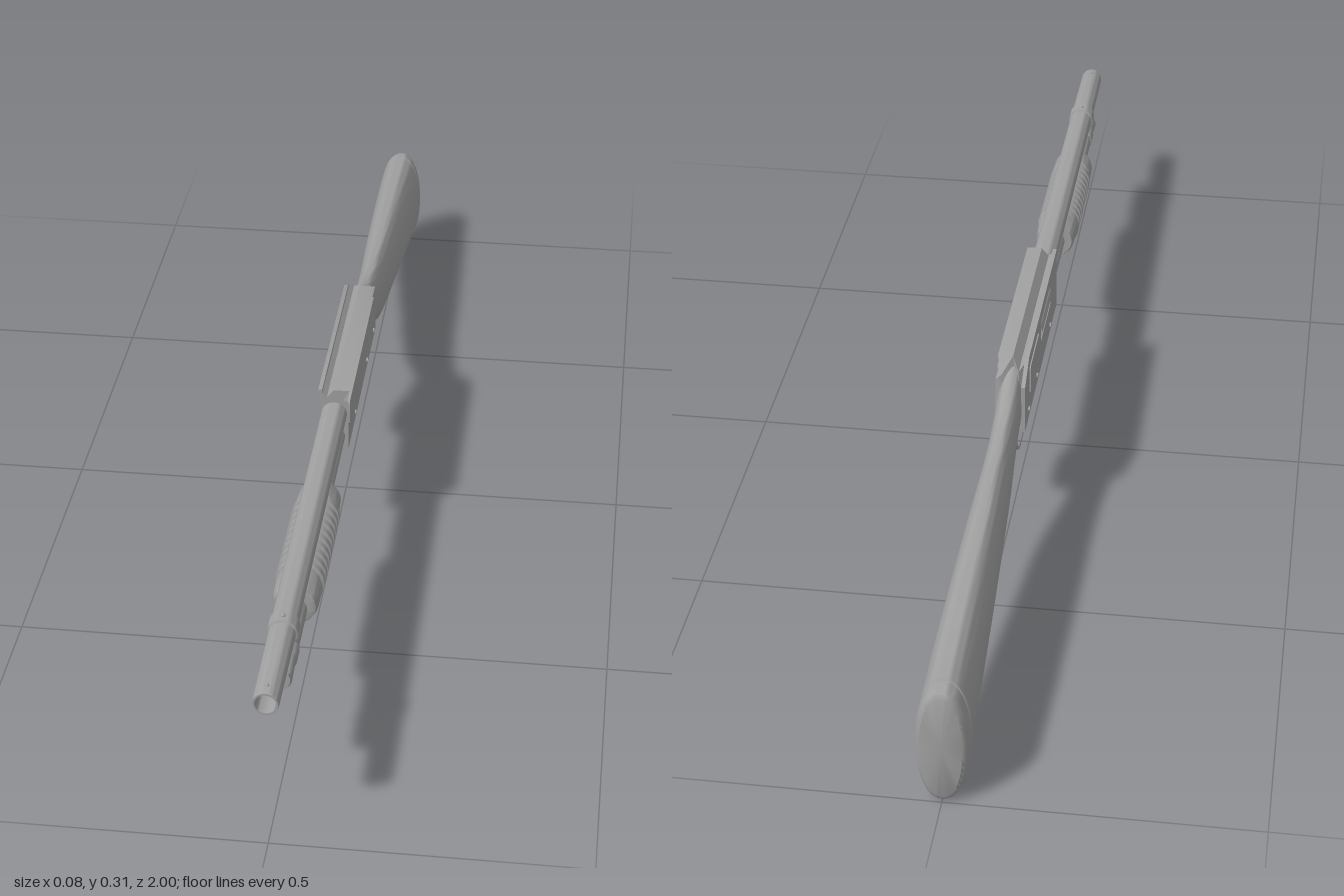
import * as THREE from 'three';
import { toCreasedNormals } from 'three/addons/utils/BufferGeometryUtils.js';

export function createModel() {
  const model = new THREE.Group();
  const grey = new THREE.MeshStandardMaterial({ color: 0xa0a0a0 });
  grey.name = 'plain grey';

  const add = (name, geo, x = 0, y = 0, z = 0, crease = 0.6) => {
    const mesh = new THREE.Mesh(toCreasedNormals(geo, crease), grey);
    mesh.name = name;
    mesh.position.set(x, y, z);
    model.add(mesh);
    return mesh;
  };
  const poly = (pts) => new THREE.Shape(pts.map((p) => new THREE.Vector2(p[0], p[1])));
  const extrude = (shape, depth) =>
    new THREE.ExtrudeGeometry(shape, { depth, bevelEnabled: false, curveSegments: 16 });
  // side profile given as (z, y), extruded across x and centred
  const side = (shape, width) => extrude(shape, width).translate(0, 0, -width / 2).rotateY(-Math.PI / 2);
  // turned profile given as (radius, z), from back to front
  const turned = (pts, seg = 40) =>
    new THREE.LatheGeometry(pts.map((p) => new THREE.Vector2(p[0], p[1])), seg).rotateX(Math.PI / 2);
  const roundRect = (shape, x0, y0, x1, y1, r) => {
    shape.moveTo(x0 + r, y0);
    shape.lineTo(x1 - r, y0);
    shape.quadraticCurveTo(x1, y0, x1, y0 + r);
    shape.lineTo(x1, y1 - r);
    shape.quadraticCurveTo(x1, y1, x1 - r, y1);
    shape.lineTo(x0 + r, y1);
    shape.quadraticCurveTo(x0, y1, x0, y1 - r);
    shape.lineTo(x0, y0 + r);
    shape.quadraticCurveTo(x0, y0, x0 + r, y0);
    return shape;
  };

  // Barrel with open bore, magazine tube and its cap
  const barrelY = 0.268, tubeY = 0.222;
  add('barrel', turned([[0.0225, 0.1], [0.0215, 0.8], [0.0205, 0.995], [0.0195, 1],
    [0.0165, 1], [0.0165, 0.85], [0, 0.85]]), 0, barrelY);
  add('magazineTube', turned([[0.019, 0.1], [0.019, 0.8], [0, 0.8]]), 0, tubeY);
  add('magazineCap', turned([[0.019, 0.69], [0.0215, 0.695], [0.0215, 0.785], [0.019, 0.788],
    [0.019, 0.797], [0.0235, 0.8], [0.0235, 0.825], [0.0215, 0.83], [0.0225, 0.875],
    [0.02, 0.88], [0, 0.88]]), 0, tubeY);
  add('barrelRing', turned([[0.02, 0.795], [0.0245, 0.797], [0.0245, 0.823], [0.02, 0.825]]), 0, barrelY);
  add('barrelLug', new THREE.BoxGeometry(0.016, 0.03, 0.03), 0, 0.245, 0.81);
  add('ringBead', new THREE.SphereGeometry(0.004, 12, 8), 0, barrelY + 0.0245, 0.81);
  add('frontBead', new THREE.SphereGeometry(0.0035, 12, 8), 0, barrelY + 0.0205, 0.98);

  // Ribbed sliding fore-end
  const grip = [[0.019, 0.37], [0.033, 0.37], [0.036, 0.376], [0.0375, 0.41]];
  for (let i = 0; i < 10; i++) {
    const z = 0.423 + i * 0.021;
    grip.push([0.04, z], [0.04, z + 0.011], [0.035, z + 0.013], [0.035, z + 0.019]);
  }
  grip.push([0.0385, 0.636], [0.0375, 0.675], [0.034, 0.688], [0.028, 0.69], [0.019, 0.69]);
  add('foreEnd', turned(grip, 48), 0, 0.223);

  // Receiver: grooved cross-section whose rear end slopes down to the stock
  const front = 0.175, rear = -0.205;
  const slope = (y) => Math.min(0.055, (0.315 - y) * 1.8);
  const body = extrude(poly([[-0.0215, 0.204], [0.025, 0.204], [0.025, 0.292], [0.016, 0.296],
    [0.0265, 0.315], [0, 0.315], [-0.013, 0.3], [-0.0215, 0.308]]), front - rear).translate(0, 0, rear);
  const pos = body.attributes.position;
  for (let i = 0; i < pos.count; i++) {
    if (pos.getZ(i) < 0) pos.setZ(i, rear - slope(pos.getY(i)));
  }
  add('receiver', body);

  // Port-side wall with the ejection opening
  const wall = poly([[front, 0.204], [front, 0.315], [rear, 0.315], [-0.258, 0.285], [-0.26, 0.204]]);
  wall.holes.push(roundRect(new THREE.Path(), -0.05, 0.25, 0.085, 0.291, 0.008));
  add('portWall', side(wall, 0.007), -0.0245);
  add('bolt', new THREE.CylinderGeometry(0.0135, 0.0135, 0.128, 28).rotateX(Math.PI / 2), -0.017, 0.27, 0.0175);
  add('rearPanel', side(roundRect(new THREE.Shape(), -0.2, 0.236, -0.085, 0.292, 0.006), 0.003), -0.0285);

  // Plain raised panel on the other side
  add('sidePanel', side(roundRect(new THREE.Shape(), -0.208, 0.245, front, 0.294, 0.008), 0.005), 0.025);

  // Floor with the loading opening
  const floor = poly([[-0.028, -0.26], [0.025, -0.26], [0.025, front], [-0.028, front]]);
  floor.holes.push(roundRect(new THREE.Path(), -0.016, -0.05, 0.014, 0.135, 0.008));
  add('floor', extrude(floor, 0.009).rotateX(Math.PI / 2), 0, 0.205);

  // Cross pins
  for (const [y, z] of [[0.211, 0.075], [0.215, -0.105], [0.215, -0.215]]) {
    add('pin', new THREE.CylinderGeometry(0.0045, 0.0045, 0.059, 14).rotateZ(Math.PI / 2), -0.0015, y, z);
  }

  // Trigger guard, trigger and rear tang
  const loop = (shape, t) => {
    shape.moveTo(-0.093 - t, 0.2 - t);
    shape.bezierCurveTo(-0.096 - t, 0.155, -0.115, 0.123 + t, -0.15, 0.123 + t);
    shape.lineTo(-0.19, 0.123 + t);
    shape.bezierCurveTo(-0.225, 0.123 + t, -0.246 + t, 0.145, -0.246 + t, 0.2 - t);
    return shape;
  };
  const guard = loop(new THREE.Shape(), 0);
  guard.holes.push(loop(new THREE.Path(), 0.008));
  add('triggerGuard', side(guard, 0.022));
  add('guardTang', new THREE.BoxGeometry(0.02, 0.014, 0.05), 0, 0.19, -0.25);
  const trigger = new THREE.Shape();
  trigger.moveTo(-0.15, 0.2);
  trigger.quadraticCurveTo(-0.165, 0.165, -0.148, 0.142);
  trigger.lineTo(-0.154, 0.14);
  trigger.quadraticCurveTo(-0.178, 0.165, -0.17, 0.2);
  add('trigger', side(trigger, 0.009));

  // Stock and butt pad, lofted from rounded sections: [z, top, bottom, half width]
  const loft = (rows, n = 44) => {
    const v = [], idx = [];
    const power = (c) => Math.sign(c) * Math.abs(c) ** 0.9;
    rows.forEach(([z, top, bottom, w], i) => {
      for (let j = 0; j < n; j++) {
        const a = (j / n) * Math.PI * 2, k = (j + 1) % n;
        v.push(power(Math.cos(a)) * w, (top + bottom) / 2 + power(Math.sin(a)) * (top - bottom) / 2, z);
        if (i < rows.length - 1) {
          const p = i * n + j, q = i * n + k;
          idx.push(p, p + n, q, q, p + n, q + n);
        }
      }
    });
    const geo = new THREE.BufferGeometry();
    geo.setAttribute('position', new THREE.Float32BufferAttribute(v, 3));
    geo.setIndex(idx);
    return geo;
  };
  add('stock', loft([
    [-0.215, 0.3, 0.2, 0.02], [-0.26, 0.288, 0.19, 0.022], [-0.3, 0.273, 0.177, 0.022],
    [-0.35, 0.262, 0.151, 0.023], [-0.4, 0.256, 0.128, 0.025], [-0.45, 0.252, 0.113, 0.027],
    [-0.55, 0.246, 0.097, 0.031], [-0.7, 0.234, 0.067, 0.036], [-0.85, 0.222, 0.036, 0.04],
    [-0.962, 0.212, 0.01, 0.042], [-0.964, 0.209, 0.013, 0.04], [-0.97, 0.209, 0.013, 0.04],
  ]), 0, 0, 0, 0.7);
  add('buttPad', loft([
    [-0.966, 0.209, 0.013, 0.04], [-0.968, 0.212, 0.004, 0.042], [-0.985, 0.211, 0, 0.042],
    [-0.995, 0.208, 0.003, 0.039], [-1, 0.2, 0.011, 0.033], [-1, 0.1055, 0.1054, 0.0001],
  ]), 0, 0, 0, 0.7);

  return model;
}
